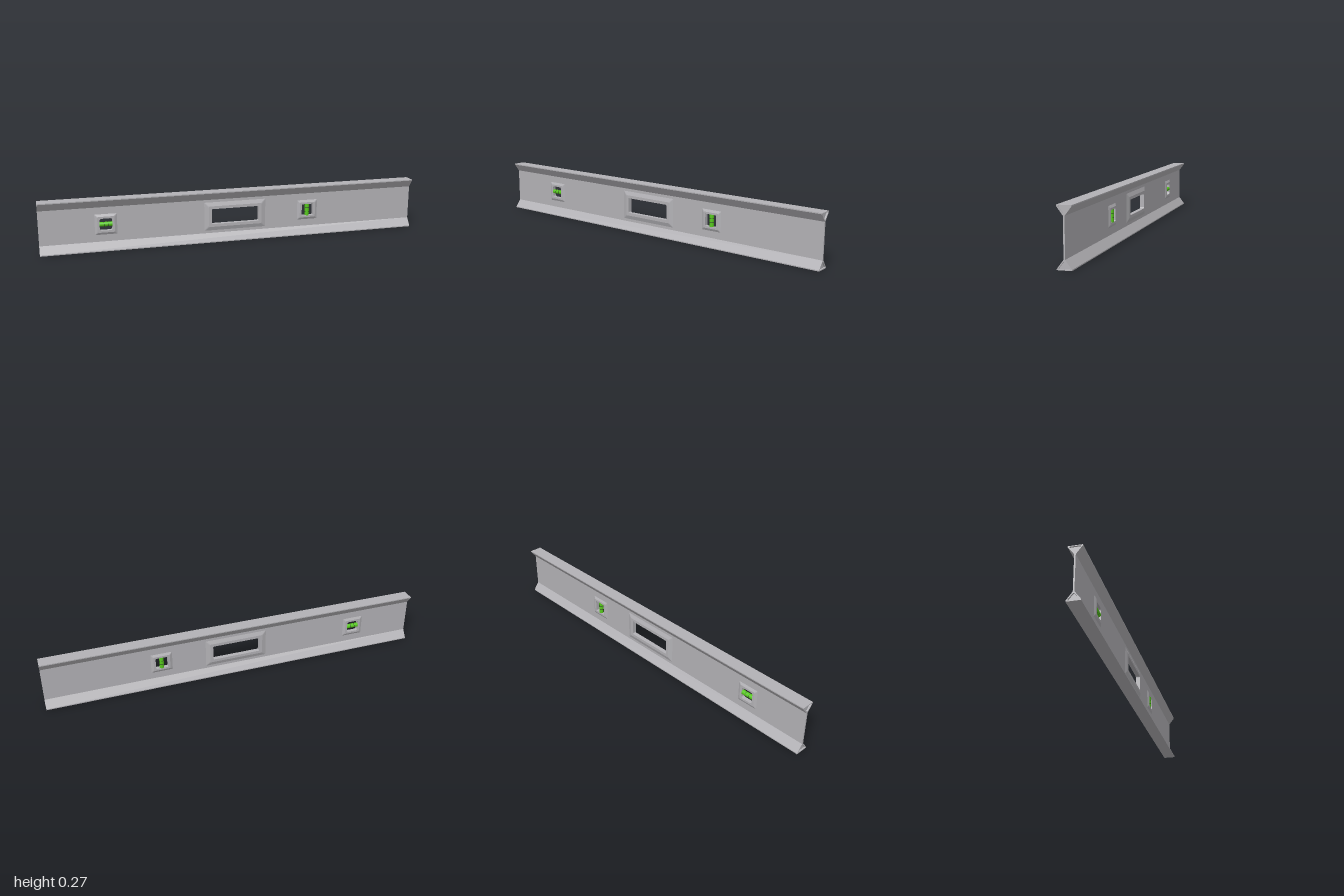
import * as THREE from 'three';

const H = 0.266, MID = 0.133, WEB = 0.0035;

// Counter-clockwise points of a rounded rectangle
function roundRect(cx, cy, hw, hh, r, seg = 4) {
  const pts = [];
  [[1, -1], [1, 1], [-1, 1], [-1, -1]].forEach(([sx, sy], c) => {
    for (let i = 0; i <= seg; i++) {
      const a = (c - 1 + i / seg) * Math.PI / 2;
      pts.push(new THREE.Vector2(
        cx + sx * (hw - r) + r * Math.cos(a),
        cy + sy * (hh - r) + r * Math.sin(a)));
    }
  });
  return pts;
}

// Skin between matching loops given as [points, z]
function loft(loops) {
  const pos = [];
  for (let k = 0; k < loops.length - 1; k++) {
    const [a, za] = loops[k], [b, zb] = loops[k + 1];
    for (let i = 0; i < a.length; i++) {
      const j = (i + 1) % a.length;
      const A = [a[i].x, a[i].y, za], B = [a[j].x, a[j].y, za];
      const C = [b[j].x, b[j].y, zb], D = [b[i].x, b[i].y, zb];
      pos.push(...A, ...B, ...C, ...A, ...C, ...D);
    }
  }
  const g = new THREE.BufferGeometry();
  g.setAttribute('position', new THREE.Float32BufferAttribute(pos, 3));
  g.computeVertexNormals();
  return g;
}

// Extrude a cross-section along x, centred on x = 0
function alongX(shape, length) {
  return new THREE.ExtrudeGeometry(shape, { depth: length, bevelEnabled: false, curveSegments: 4 })
    .translate(0, 0, -length / 2).rotateY(Math.PI / 2);
}

// Triangular pocket outline with rounded corners
function pocket(Type) {
  const s = new Type();
  s.moveTo(-0.021, 0.262);
  s.lineTo(0.021, 0.262);
  s.quadraticCurveTo(0.027, 0.262, 0.024, 0.257);
  s.lineTo(0.005, 0.233);
  s.quadraticCurveTo(0, 0.228, -0.005, 0.233);
  s.lineTo(-0.024, 0.257);
  s.quadraticCurveTo(-0.027, 0.262, -0.021, 0.262);
  return s;
}

export function createModel() {
  const group = new THREE.Group();
  const mat = (name, color) => {
    const m = new THREE.MeshStandardMaterial({ color });
    m.name = name;
    return m;
  };
  const metal = mat('grey metal', 0xb2b1b5);
  const green = mat('vial green', 0x56c81c);
  const dark = mat('dark marks', 0x2a2c2a);
  const add = (name, geo, material, parent = group) => {
    const m = new THREE.Mesh(geo, material);
    m.name = name;
    parent.add(m);
    return m;
  };

  // Window openings: centre x, opening half size, corner radius, frame half size, ridge half size, ridge z
  const windows = [
    { name: 'handleFrame', x: 0, w: 0.127, h: 0.04, r: 0.006, ow: 0.165, oh: 0.075, rw: 0.143, rh: 0.055, z: 0.011 },
    { name: 'levelVialFrame', x: -0.67, w: 0.032, h: 0.031, r: 0.01, ow: 0.056, oh: 0.053, rw: 0.043, rh: 0.041, z: 0.010 },
    { name: 'plumbVialFrame', x: 0.4, w: 0.032, h: 0.031, r: 0.004, ow: 0.056, oh: 0.053, rw: 0.043, rh: 0.041, z: 0.010 },
  ];

  // Web plate with the three openings
  const plate = new THREE.Shape([[-1, 0.042], [1, 0.042], [1, 0.224], [-1, 0.224]]
    .map(p => new THREE.Vector2(...p)));
  for (const o of windows) plate.holes.push(new THREE.Path(roundRect(o.x, MID, o.w + 0.001, o.h + 0.001, o.r)));
  add('web', new THREE.ExtrudeGeometry(plate, { depth: WEB * 2, bevelEnabled: false }).translate(0, 0, -WEB), metal);

  // Top and bottom flanges with recessed triangular ends
  const section = new THREE.Shape([[-0.033, H], [-0.033, 0.261], [-WEB, 0.222], [WEB, 0.222], [0.033, 0.261], [0.033, H]]
    .map(p => new THREE.Vector2(...p)));
  section.holes.push(pocket(THREE.Path));
  const flangeGeo = alongX(section, 2);
  const capGeo = alongX(pocket(THREE.Shape), 1.985);
  for (const side of ['top', 'bottom']) {
    const flange = new THREE.Group();
    flange.name = side + 'Flange';
    add('rail', flangeGeo, metal, flange);
    add('endCaps', capGeo, metal, flange);
    if (side === 'bottom') {
      flange.rotation.x = Math.PI;
      flange.position.y = H;
    }
    group.add(flange);
  }

  // Raised bevelled frames on both faces, lining each opening
  for (const o of windows) {
    const outer = roundRect(o.x, MID, o.ow, o.oh, 0.003);
    const ridge = roundRect(o.x, MID, o.rw, o.rh, 0.006);
    const inner = roundRect(o.x, MID, o.w, o.h, o.r);
    add(o.name, loft([
      [outer, WEB], [ridge, o.z], [inner, o.z],
      [inner, -o.z], [ridge, -o.z], [outer, -WEB],
    ]), metal);
  }

  // Vials: level one lies along x, plumb one stands along y
  const tube = new THREE.CylinderGeometry(0.0115, 0.0115, 0.064, 20);
  const ring = new THREE.CylinderGeometry(0.0118, 0.0118, 0.0016, 20);
  for (const [name, x, turn] of [['levelVial', -0.67, Math.PI / 2], ['plumbVial', 0.4, 0]]) {
    const vial = new THREE.Group();
    vial.name = name;
    add('tube', tube, green, vial);
    for (const s of [-1, 1]) add('mark', ring, dark, vial).position.y = s * 0.01;
    vial.position.set(x, MID, 0);
    vial.rotation.z = turn;
    group.add(vial);
  }
  return group;
}
